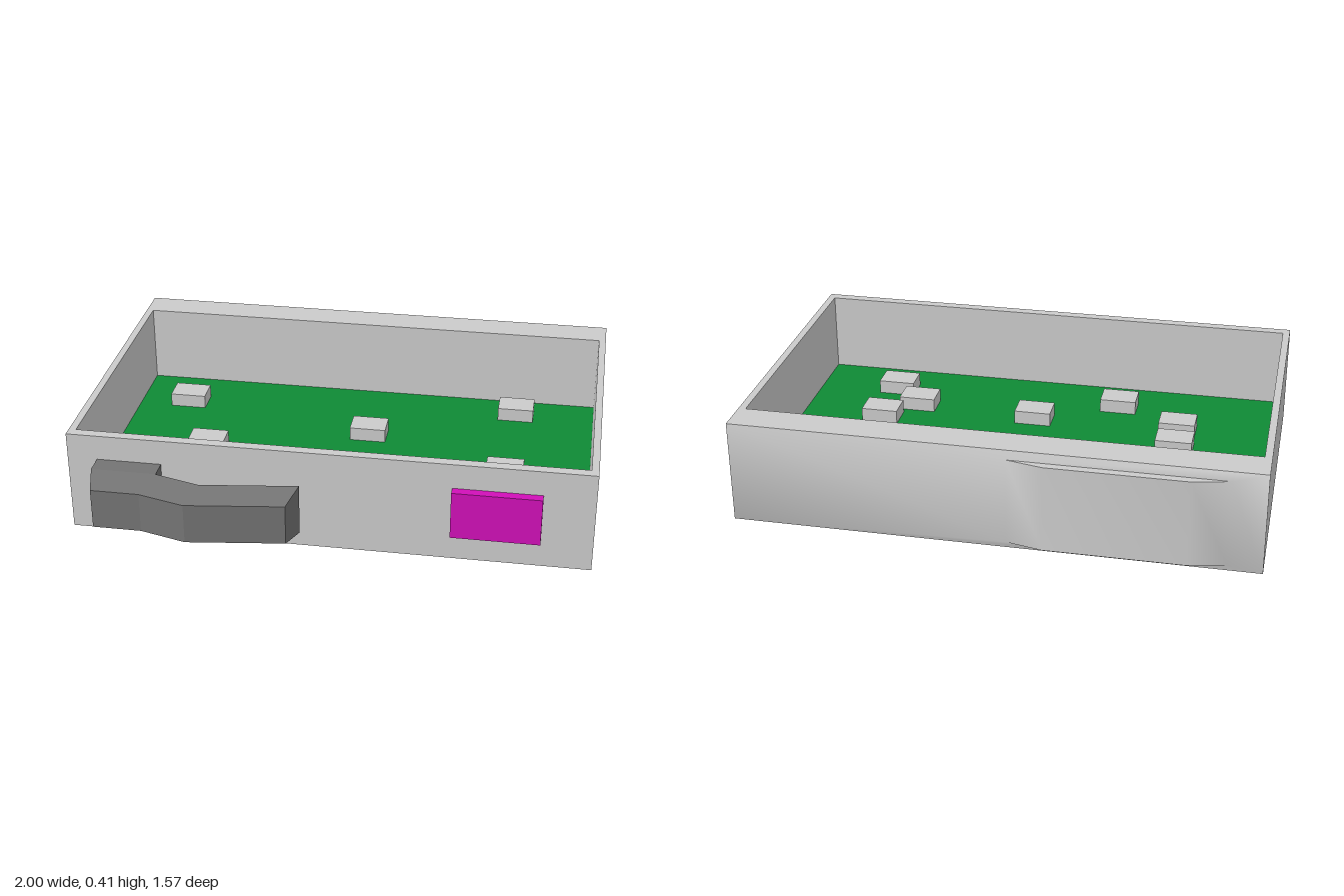
import * as THREE from 'three';
import { toCreasedNormals } from 'three/addons/utils/BufferGeometryUtils.js';

const grey = new THREE.MeshStandardMaterial({ color: 0xcccccc });
const dark = new THREE.MeshStandardMaterial({ color: 0x747474 });
const green = new THREE.MeshStandardMaterial({ color: 0x0f8a35 });
const magenta = new THREE.MeshStandardMaterial({ color: 0xd010b8 });

// Box from min and max corners
function box(name, [x0, y0, z0], [x1, y1, z1], material) {
  const mesh = new THREE.Mesh(new THREE.BoxGeometry(x1 - x0, y1 - y0, z1 - z0), material);
  mesh.position.set((x0 + x1) / 2, (y0 + y1) / 2, (z0 + z1) / 2);
  mesh.name = name;
  return mesh;
}

// Skin through four-cornered rings, counterclockwise about the direction of travel
function loft(rings, capStart, crease) {
  const index = [];
  const quad = (a, b, c, d) => index.push(a, b, c, a, c, d);
  for (let i = 0; i < rings.length - 1; i++) {
    for (let j = 0; j < 4; j++) {
      const k = (j + 1) % 4;
      quad(i * 4 + j, i * 4 + k, i * 4 + 4 + k, i * 4 + 4 + j);
    }
  }
  if (capStart) quad(3, 2, 1, 0);
  const e = (rings.length - 1) * 4;
  quad(e, e + 1, e + 2, e + 3);
  const geometry = new THREE.BufferGeometry();
  geometry.setAttribute('position', new THREE.Float32BufferAttribute(rings.flat(2), 3));
  geometry.setIndex(index);
  geometry.computeVertexNormals();
  return toCreasedNormals(geometry, crease);
}

function rectangle(target, x0, x1, z0, z1) {
  target.moveTo(x0, -z1);
  target.lineTo(x1, -z1);
  target.lineTo(x1, -z0);
  target.lineTo(x0, -z0);
  target.closePath();
  return target;
}

export function createModel() {
  const model = new THREE.Group();
  const H = 0.405, FRONT = 0.54, BACK = -0.737;

  // Open-topped tray: four walls with a thicker back, and a floor
  const tray = new THREE.Group();
  tray.name = 'tray';
  const outline = rectangle(new THREE.Shape(), -1, 1, BACK, FRONT);
  outline.holes.push(rectangle(new THREE.Path(), -0.972, 0.972, -0.605, 0.5));
  const wallGeometry = new THREE.ExtrudeGeometry(outline, { depth: H, bevelEnabled: false });
  wallGeometry.rotateX(-Math.PI / 2);
  const walls = new THREE.Mesh(wallGeometry, grey);
  walls.name = 'walls';
  tray.add(walls, box('floor', [-0.972, 0, -0.605], [0.972, 0.06, 0.5], grey));

  // Shallow bulge with a ledge on the back wall
  const ring = (x0, x1, y0, y1, z) => [[x0, y0, z], [x0, y1, z], [x1, y1, z], [x1, y0, z]];
  const bulge = new THREE.Mesh(loft([
    ring(-1, 1, 0, H, BACK),
    ring(-0.87, -0.06, 0.032, 0.375, -0.755),
    ring(-0.73, -0.2, 0.032, 0.375, -0.786),
  ], false, 0.7), grey);
  bulge.name = 'backBulge';
  tray.add(bulge);
  model.add(tray);

  // Circuit board with its chips
  const board = new THREE.Group();
  board.name = 'circuitBoard';
  board.add(box('boardPlate', [-0.972, 0.06, -0.605], [0.972, 0.085, 0.5], green));
  const chips = [
    [-0.76, -0.39], [0.645, -0.48], [0.05, -0.21], [-0.59, 0], [-0.585, 0.155],
    [0.01, 0.145], [0.635, 0.045], [0.51, 0.18], [0.635, 0.315], [-0.32, 0.32],
  ];
  for (const [x, z] of chips) {
    board.add(box('chip', [x - 0.074, 0.08, z - 0.054], [x + 0.074, 0.14, z + 0.054], grey));
  }
  model.add(board);

  // Bent lever handle, narrower along its front, on a square stem
  const handle = new THREE.Group();
  handle.name = 'handle';
  const sections = [
    [-0.885, 0.615, -0.855, 0.732],
    [-0.635, 0.615, -0.67, 0.732],
    [-0.46, 0.665, -0.49, 0.782],
    [-0.09, 0.615, -0.12, 0.732],
  ].map(([bx, bz, fx, fz]) => [[bx, 0.305, bz], [fx, 0.283, fz], [fx, 0.125, fz], [bx, 0.103, bz]]);
  const lever = new THREE.Mesh(loft(sections, true, 0.1), dark);
  lever.name = 'lever';
  handle.add(lever, box('stem', [-0.885, 0.103, FRONT - 0.01], [-0.635, 0.305, 0.615], dark));
  model.add(handle);

  // Connector block on the front wall
  model.add(box('connector', [0.47, 0.113, FRONT - 0.01], [0.806, 0.305, 0.577], magenta));
  return model;
}
